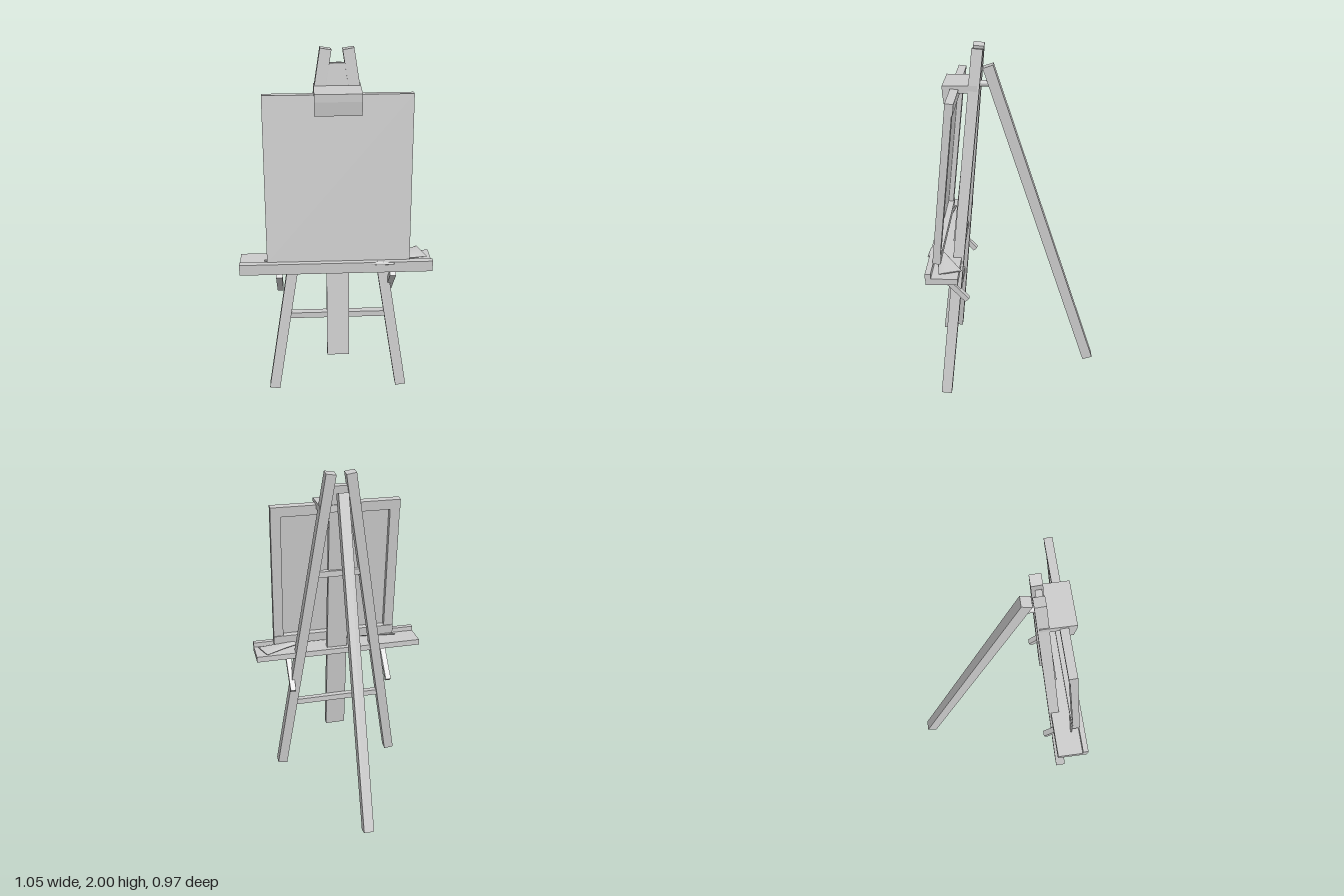
import * as THREE from 'three';

const grey = new THREE.MeshStandardMaterial({ color: 0xcccccc });
grey.name = 'plain grey';

const CX = 0.0125; // centre line of the frame

export function createModel() {
  const model = new THREE.Group();
  model.name = 'easel';

  const add = (name, geometry, parent = model) => {
    const mesh = new THREE.Mesh(geometry, grey);
    mesh.name = name;
    parent.add(mesh);
    return mesh;
  };

  // axis-aligned box given by its limits
  const block = (name, x0, x1, y0, y1, z0, z1, parent) => {
    const m = add(name, new THREE.BoxGeometry(x1 - x0, y1 - y0, z1 - z0), parent);
    m.position.set((x0 + x1) / 2, (y0 + y1) / 2, (z0 + z1) / 2);
    return m;
  };

  // square-ended beam from a to b, its width kept along x
  const beam = (name, a, b, width, depth) => {
    const from = new THREE.Vector3(...a), to = new THREE.Vector3(...b);
    const up = to.clone().sub(from);
    const m = add(name, new THREE.BoxGeometry(width, up.length(), depth));
    up.normalize();
    const side = new THREE.Vector3(1, 0, 0).addScaledVector(up, -up.x).normalize();
    const front = side.clone().cross(up);
    m.quaternion.setFromRotationMatrix(new THREE.Matrix4().makeBasis(side, up, front));
    m.position.copy(from).add(to).multiplyScalar(0.5);
    return m;
  };

  // round rod from a to b
  const rod = (name, a, b, r0, r1) => {
    const from = new THREE.Vector3(...a), to = new THREE.Vector3(...b);
    const dir = to.clone().sub(from);
    const m = add(name, new THREE.CylinderGeometry(r1, r0, dir.length(), 16));
    m.quaternion.setFromUnitVectors(new THREE.Vector3(0, 1, 0), dir.normalize());
    m.position.copy(from).add(to).multiplyScalar(0.5);
    return m;
  };

  // legs and tray braces, mirrored
  for (const s of [-1, 1]) {
    const side = s > 0 ? 'left' : 'right';
    beam(side + 'FrontLeg', [CX + s * 0.373, 0.008, 0.4], [CX + s * 0.058, 1.992, 0.199], 0.06, 0.06);
    beam(side + 'TrayBrace', [s * 0.312, 0.8, 0.445], [s * 0.312, 0.605, 0.268], 0.034, 0.03);
  }
  beam('backLeg', [CX, 0.01, -0.456], [CX, 1.888, 0.148], 0.06, 0.06);
  rod('hingePin', [CX, 1.79, 0.12], [CX, 1.79, 0.25], 0.018, 0.018);

  // centre board and crossbars
  beam('centreBoard', [CX, 0.25, 0.422], [CX, 1.92, 0.212], 0.125, 0.035);
  block('lowerCrossbar', CX - 0.29, CX + 0.29, 0.465, 0.5, 0.335, 0.37);
  block('upperCrossbar', CX - 0.15, CX + 0.15, 1.362, 1.398, 0.243, 0.278);

  // tray with front lip
  block('trayShelf', -0.525, 0.525, 0.82, 0.856, 0.297, 0.47);
  block('trayLip', -0.525, 0.525, 0.845, 0.885, 0.442, 0.473);

  // canvas: thin sheet on a stretcher frame, leaning back
  const canvas = new THREE.Group();
  canvas.name = 'canvas';
  canvas.position.set(CX, 0.88, 0.447);
  canvas.rotation.x = -Math.atan(0.112);
  model.add(canvas);
  const W = 0.3875, H = 0.918, B = 0.06;
  block('canvasSheet', -W, W, 0, H, -0.01, 0, canvas);
  block('stretcherBottom', -W, W, 0, B, -0.045, -0.01, canvas);
  block('stretcherTop', -W, W, H - B, H, -0.045, -0.01, canvas);
  for (const s of [-1, 1]) {
    const x = s * (W - B / 2);
    block('stretcherSide', x - B / 2, x + B / 2, B, H - B, -0.04, -0.01, canvas);
  }

  // top clamp: hooked profile swept across the width
  const hook = new THREE.Shape([
    [0.2, 1.767], [0.345, 1.767], [0.352, 1.69], [0.378, 1.69], [0.388, 1.767], [0.388, 1.808], [0.2, 1.808],
  ].map(([z, y]) => new THREE.Vector2(z, y)));
  const clamp = add('topClamp', new THREE.ExtrudeGeometry(hook, { depth: 0.245, bevelEnabled: false }));
  clamp.rotation.y = -Math.PI / 2;
  clamp.position.x = CX + 0.1225;

  // brush lying along the tray
  rod('brushHandle', [-0.39, 0.868, 0.395], [0.22, 0.877, 0.468], 0.005, 0.009);
  rod('brushTip', [0.22, 0.877, 0.468], [0.315, 0.879, 0.479], 0.011, 0.005);

  // paint tube: round at the neck, flattened to a wide crimped end
  const tube = new THREE.CylinderGeometry(1, 1, 0.22, 24, 6);
  const p = tube.attributes.position;
  for (let i = 0; i < p.count; i++) {
    const t = p.getY(i) / 0.22 + 0.5;
    p.setX(i, p.getX(i) * (0.022 + 0.043 * t));
    p.setZ(i, p.getZ(i) * (0.016 - 0.013 * t));
  }
  tube.computeVertexNormals();
  const paint = new THREE.Group();
  paint.name = 'paintTube';
  paint.position.set(0.378, 0.873, 0.375);
  paint.rotation.y = 0.33;
  model.add(paint);
  add('tubeBody', tube, paint).rotation.set(Math.PI / 2, 0, -Math.PI / 2);
  const cap = add('tubeCap', new THREE.CylinderGeometry(0.012, 0.012, 0.04, 16), paint);
  cap.rotation.z = Math.PI / 2;
  cap.position.x = -0.13;

  return model;
}
